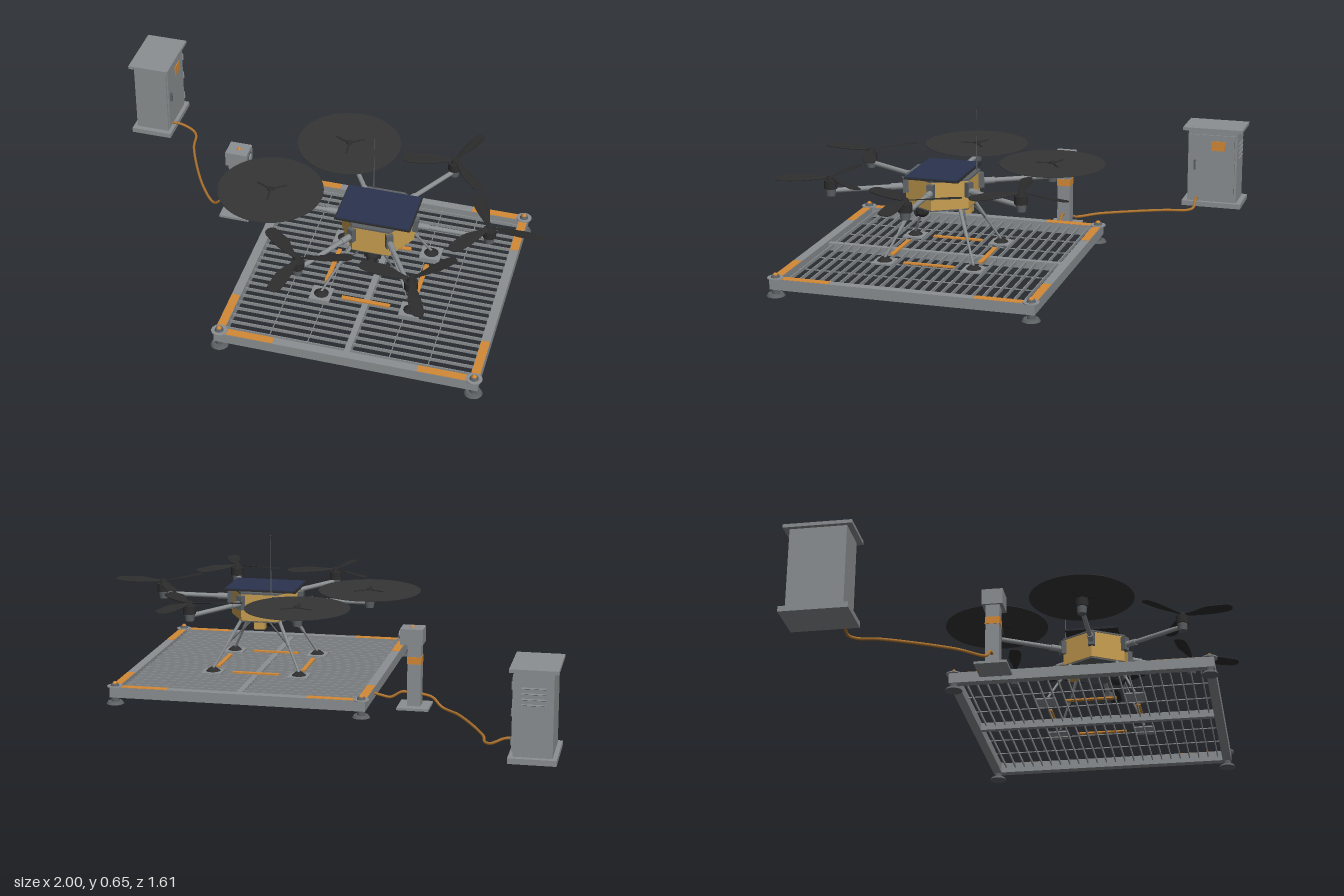
import * as THREE from 'three';

const mat = (name, color) => Object.assign(new THREE.MeshStandardMaterial({ color }), { name });
const M = {
  grey: mat('painted grey', 0x8b8f91),
  steel: mat('dark steel', 0x5e6265),
  black: mat('carbon black', 0x2d2d2e),
  blur: mat('rotor disc black', 0x353536),
  gold: mat('gold foil', 0xc99f51),
  navy: mat('solar navy', 0x2b344f),
  orange: mat('safety orange', 0xd38935),
  cable: mat('cable brown', 0xae742f),
};
const V = (x, y, z) => new THREE.Vector3(x, y, z);

function add(parent, name, geo, m, x = 0, y = 0, z = 0) {
  const mesh = new THREE.Mesh(geo, m);
  mesh.name = name;
  mesh.position.set(x, y, z);
  parent.add(mesh);
  return mesh;
}
const box = (p, name, m, w, h, d, x, y, z) => add(p, name, new THREE.BoxGeometry(w, h, d), m, x, y, z);
const cyl = (p, name, m, r1, r2, h, x, y, z, n = 20) => add(p, name, new THREE.CylinderGeometry(r1, r2, h, n), m, x, y, z);
function rod(p, name, m, a, b, r1, r2 = r1, n = 10) {
  const d = b.clone().sub(a);
  const mesh = cyl(p, name, m, r2, r1, d.length(), 0, 0, 0, n);
  mesh.position.copy(a).add(b).multiplyScalar(0.5);
  mesh.quaternion.setFromUnitVectors(V(0, 1, 0), d.normalize());
  return mesh;
}
function group(parent, name, x = 0, y = 0, z = 0) {
  const g = new THREE.Group();
  g.name = name;
  g.position.set(x, y, z);
  parent.add(g);
  return g;
}

// Landing platform with bar grating
function buildPlatform(root) {
  const g = group(root, 'landingPlatform', 0.333, 0, 0.2);
  const R = 0.512;
  for (const s of [-1, 1]) {
    box(g, 'frameBeamX', M.grey, 2 * R + 0.037, 0.043, 0.037, 0, 0.05, s * R);
    box(g, 'frameBeamZ', M.grey, 0.037, 0.043, 2 * R - 0.037, s * R, 0.05, 0);
    for (const t of [-1, 1]) {
      // Hazard strips near the corners
      box(g, 'hazardStripX', M.orange, 0.19, 0.0015, 0.034, s * 0.385, 0.0722, t * R);
      box(g, 'hazardStripZ', M.orange, 0.034, 0.0015, 0.19, s * R, 0.0722, t * 0.385);
      // Corner foot below and cap with small lamp above
      const c = group(g, 'cornerPost', s * R, 0, t * R);
      cyl(c, 'footPlate', M.steel, 0.03, 0.036, 0.01, 0, 0.005, 0);
      cyl(c, 'footStem', M.steel, 0.016, 0.016, 0.03, 0, 0.02, 0);
      cyl(c, 'cornerDisc', M.grey, 0.032, 0.032, 0.004, 0, 0.0725, 0);
      cyl(c, 'cornerCap', M.steel, 0.014, 0.018, 0.01, 0, 0.079, 0);
      add(c, 'cornerLamp', new THREE.SphereGeometry(0.01, 14, 6, 0, Math.PI * 2, 0, Math.PI / 2), M.orange, 0, 0.083, 0);
      // Touchdown plates
      box(g, 'touchdownPlate', M.grey, 0.085, 0.006, 0.085, s * 0.185, 0.066, t * 0.185);
    }
    // Orange guides between the touchdown plates
    box(g, 'guideBarX', M.orange, 0.2, 0.006, 0.018, 0, 0.068, s * 0.185);
    box(g, 'guideBarZ', M.orange, 0.018, 0.006, 0.21, s * 0.185, 0.068, 0);
    for (const x of [0.165, 0.32]) box(g, 'gratingRod', M.grey, 0.003, 0.004, 2 * R, s * x, 0.05, 0);
  }
  box(g, 'centreBeam', M.grey, 0.024, 0.032, 2 * R, 0, 0.047, 0);
  for (let i = 0; i < 24; i++)
    box(g, 'gratingSlat', M.grey, 2 * R, 0.014, 0.004, 0, 0.055, (i - 11.5) * 0.041);
}

// Twisted propeller blade pointing along +x
function bladeGeometry() {
  const s = new THREE.Shape();
  s.moveTo(0.01, -0.007);
  s.bezierCurveTo(0.06, -0.01, 0.08, -0.027, 0.12, -0.03);
  s.lineTo(0.197, -0.024);
  s.quadraticCurveTo(0.216, -0.018, 0.216, 0.004);
  s.quadraticCurveTo(0.213, 0.023, 0.19, 0.025);
  s.bezierCurveTo(0.13, 0.031, 0.08, 0.02, 0.01, 0.007);
  const geo = new THREE.ExtrudeGeometry(s, { depth: 0.003, bevelEnabled: false, curveSegments: 6 });
  geo.rotateX(-Math.PI / 2);
  const p = geo.attributes.position;
  for (let i = 0; i < p.count; i++) {
    const a = 0.32 - p.getX(i) * 0.8, y = p.getY(i), z = p.getZ(i);
    p.setY(i, y * Math.cos(a) + z * Math.sin(a));
    p.setZ(i, z * Math.cos(a) - y * Math.sin(a));
  }
  geo.computeVertexNormals();
  return geo;
}

function buildDrone(root) {
  const g = group(root, 'drone', 0.333, 0, 0.2);
  // Hexagonal body with corners on the arms
  const hexa = (name, m, r, h, y) => {
    const geo = new THREE.CylinderGeometry(r, r, h, 6).toNonIndexed();
    geo.rotateY(Math.PI / 6);
    geo.computeVertexNormals();
    return add(g, name, geo, m, 0, y, 0);
  };
  hexa('bodyShell', M.gold, 0.15, 0.115, 0.337);
  hexa('bodyLid', M.steel, 0.153, 0.008, 0.397);
  hexa('bodyFloor', M.steel, 0.145, 0.008, 0.277);
  box(g, 'solarPanelFrame', M.black, 0.308, 0.007, 0.224, 0, 0.404, 0);
  box(g, 'solarPanel', M.navy, 0.3, 0.004, 0.216, 0, 0.409, 0);

  // Arms, motors and rotors; two rotors spin as discs
  const blade = bladeGeometry();
  const phases = [4, 70, 102, null, null, 50];
  phases.forEach((phase, i) => {
    const a = i * Math.PI / 3;
    const arm = group(g, 'rotorArm');
    arm.rotation.y = -a;
    box(arm, 'armBracket', M.steel, 0.026, 0.06, 0.028, 0.152, 0.357, 0);
    rod(arm, 'armTube', M.grey, V(0.14, 0.352, 0), V(0.45, 0.352, 0), 0.01);
    rod(arm, 'armCollar', M.grey, V(0.165, 0.352, 0), V(0.21, 0.352, 0), 0.0135);
    cyl(arm, 'motorMount', M.steel, 0.022, 0.018, 0.03, 0.45, 0.347, 0);
    cyl(arm, 'motor', M.black, 0.027, 0.027, 0.034, 0.45, 0.379, 0);
    cyl(arm, 'rotorHub', M.black, 0.012, 0.018, 0.022, 0.45, 0.403, 0);
    const rotor = group(g, 'rotor', 0.45 * Math.cos(a), 0.405, 0.45 * Math.sin(a));
    const spinning = phase === null;
    if (spinning) cyl(rotor, 'spinningDisc', M.blur, 0.215, 0.215, 0.002, 0, 0, 0, 48);
    for (let k = 0; k < 3; k++) {
      const ang = -((spinning ? 85 : phase) * Math.PI / 180 + k * Math.PI * 2 / 3);
      if (spinning) {
        const stub = box(rotor, 'bladeRoot', M.black, 0.07, 0.006, 0.007, Math.cos(ang) * 0.035, 0.001, -Math.sin(ang) * 0.035);
        stub.rotation.y = ang;
      } else add(rotor, 'blade', blade, M.black).rotation.y = ang;
    }
  });

  // Sprung landing legs
  for (const s of [-1, 1]) for (const t of [-1, 1]) {
    const top = V(s * 0.08, 0.28, t * 0.095), foot = V(s * 0.185, 0.08, t * 0.185);
    const mid = top.clone().lerp(foot, 0.5);
    rod(g, 'legUpper', M.grey, top, mid, 0.0075);
    rod(g, 'legLower', M.grey, mid, foot, 0.005);
    rod(g, 'legBrace', M.steel, V(s * 0.03, 0.28, t * 0.095), mid, 0.0035);
    cyl(g, 'legFoot', M.black, 0.014, 0.03, 0.014, s * 0.185, 0.077, t * 0.185);
  }

  // Camera gimbal and rear sensor
  box(g, 'gimbalMount', M.steel, 0.04, 0.022, 0.04, 0, 0.267, 0.08);
  for (const s of [-1, 1]) box(g, 'gimbalFork', M.black, 0.008, 0.045, 0.022, s * 0.03, 0.248, 0.085);
  box(g, 'gimbalBridge', M.black, 0.066, 0.008, 0.03, 0, 0.266, 0.085);
  add(g, 'cameraBall', new THREE.SphereGeometry(0.027, 20, 14), M.black, 0, 0.232, 0.088);
  rod(g, 'cameraLens', M.black, V(0, 0.23, 0.095), V(0, 0.217, 0.118), 0.014, 0.014, 16);
  box(g, 'rearSensor', M.gold, 0.045, 0.03, 0.042, 0, 0.257, -0.1);

  // Antenna
  rod(g, 'antennaBase', M.steel, V(-0.053, 0.395, -0.124), V(-0.053, 0.5, -0.124), 0.003, 0.0018, 8);
  rod(g, 'antennaWhip', M.steel, V(-0.053, 0.5, -0.124), V(-0.053, 0.647, -0.124), 0.001, 0.0008, 6);
  add(g, 'antennaTip', new THREE.SphereGeometry(0.002, 8, 6), M.steel, -0.053, 0.647, -0.124);
}

// Post with sensor head facing the platform
function buildPost(root) {
  const g = group(root, 'sensorPost', -0.364, 0, -0.119);
  box(g, 'postBase', M.grey, 0.13, 0.01, 0.13, 0, 0.005, 0);
  box(g, 'postColumn', M.grey, 0.055, 0.265, 0.055, 0, 0.14, 0);
  box(g, 'postBand', M.orange, 0.059, 0.03, 0.059, 0, 0.2, 0);
  box(g, 'postHead', M.grey, 0.093, 0.065, 0.084, 0.01, 0.3, 0);
  rod(g, 'lensRim', M.steel, V(0.05, 0.3, 0), V(0.06, 0.3, 0), 0.024, 0.024, 24);
  rod(g, 'lens', M.grey, V(0.055, 0.3, 0), V(0.066, 0.3, 0), 0.016, 0.016, 24);
  add(g, 'beacon', new THREE.SphereGeometry(0.009, 12, 8), M.orange, 0.012, 0.332, 0);
}

// Power cabinet with door towards +x and louvres at the back
function buildCabinet(root) {
  const g = group(root, 'powerCabinet', -0.909, 0, -0.671);
  box(g, 'plinth', M.grey, 0.182, 0.022, 0.265, 0, 0.011, 0);
  box(g, 'cabinetBody', M.grey, 0.148, 0.33, 0.22, 0, 0.183, 0);
  box(g, 'roof', M.grey, 0.182, 0.014, 0.265, 0, 0.353, 0);
  box(g, 'door', M.grey, 0.008, 0.29, 0.2, 0.076, 0.183, 0);
  box(g, 'warningPlate', M.orange, 0.004, 0.043, 0.06, 0.081, 0.28, -0.025);
  box(g, 'doorHandle', M.steel, 0.012, 0.045, 0.008, 0.084, 0.19, 0.078);
  for (const y of [0.08, 0.19, 0.29]) cyl(g, 'hinge', M.grey, 0.005, 0.005, 0.03, 0.079, y, -0.103, 10);
  for (let i = 0; i < 4; i++)
    box(g, 'louvre', M.grey, 0.09, 0.005, 0.01, 0, 0.222 + i * 0.021, -0.111).rotation.x = 0.4;
}

// Cables from cabinet to post and on to the platform
function buildCables(root) {
  const tube = (name, pts) => add(root, name, new THREE.TubeGeometry(
    new THREE.CatmullRomCurve3(pts.map((p) => V(...p)), false, 'centripetal'), 70, 0.006, 8), M.cable);
  tube('supplyCable', [[-0.83, 0.038, -0.607], [-0.79, 0.038, -0.607], [-0.735, 0.014, -0.607], [-0.71, 0.009, -0.58],
    [-0.69, 0.008, -0.49], [-0.56, 0.008, -0.23], [-0.475, 0.01, -0.13], [-0.435, 0.045, -0.119], [-0.38, 0.058, -0.119]]);
  tube('platformCable', [[-0.35, 0.06, -0.119], [-0.31, 0.06, -0.119], [-0.265, 0.036, -0.119],
    [-0.225, 0.042, -0.119], [-0.19, 0.05, -0.119]]);
}

export function createModel() {
  const root = new THREE.Group();
  root.name = 'droneLandingStation';
  buildPlatform(root);
  buildDrone(root);
  buildPost(root);
  buildCabinet(root);
  buildCables(root);
  return root;
}
